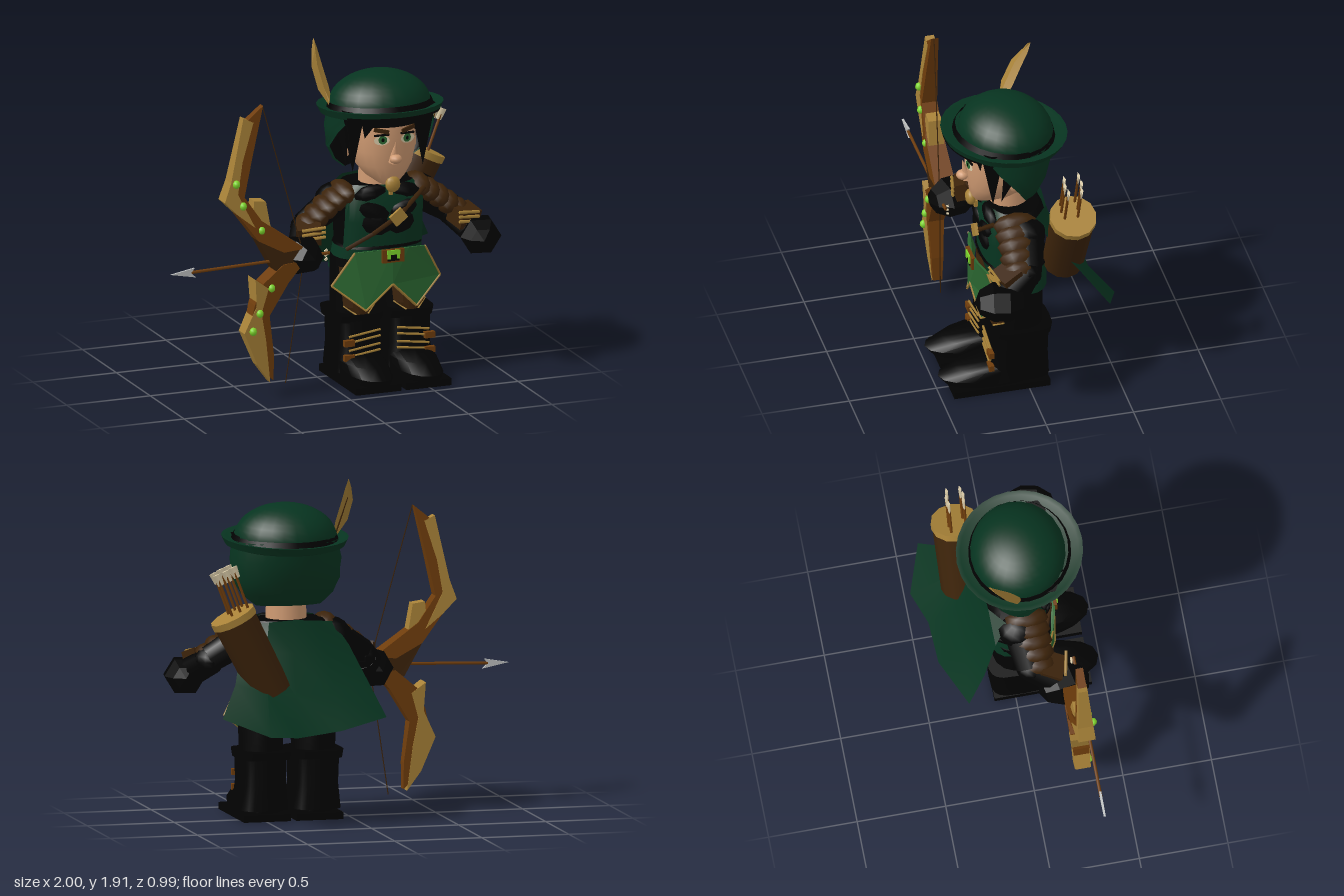
import * as THREE from 'three';
import { toCreasedNormals } from 'three/addons/utils/BufferGeometryUtils.js';

const mat = (name, color) => {
  const m = new THREE.MeshStandardMaterial({ color, side: THREE.DoubleSide });
  m.name = name;
  return m;
};
const V = (x, y, z) => new THREE.Vector3(x, y, z);

export function createModel() {
  const darkGreen = mat('darkGreen', 0x073420), green = mat('leafGreen', 0x2b6731);
  const black = mat('blackLeather', 0x020202), brown = mat('brownLeather', 0x3c230a);
  const gold = mat('gold', 0xa88238), wood = mat('wood', 0x6f3d0c), skin = mat('skin', 0xcf9a72);
  const cream = mat('cream', 0xdccdaa), lime = mat('limeGem', 0x7ed62c), steel = mat('steel', 0xbcbebe);

  const root = new THREE.Group();
  root.name = 'archer';
  const body = new THREE.Group();
  body.name = 'body';
  body.position.x = 0.345;
  root.add(body);

  const add = (parent, name, geo, m, pos = [0, 0, 0], rot = [0, 0, 0], scale = [1, 1, 1]) => {
    const mesh = new THREE.Mesh(geo, m);
    mesh.name = name;
    mesh.position.set(...pos);
    mesh.rotation.set(...rot);
    mesh.scale.set(...scale);
    parent.add(mesh);
    return mesh;
  };
  const box = (p, name, m, size, pos, rot) => add(p, name, new THREE.BoxGeometry(...size), m, pos, rot);
  const ball = (p, name, m, pos, scale, rot, w = 12, h = 8) =>
    add(p, name, new THREE.SphereGeometry(1, w, h), m, pos, rot, scale);
  // Tapered rod from a to b
  const rod = (p, name, m, a, b, ra, rb = ra, n = 8) => {
    const A = V(...a), B = V(...b), d = B.clone().sub(A);
    const mesh = add(p, name, new THREE.CylinderGeometry(rb, ra, d.length(), n), m);
    mesh.position.copy(A).add(B).multiplyScalar(0.5);
    mesh.quaternion.setFromUnitVectors(V(0, 1, 0), d.normalize());
    return mesh;
  };
  // Surface from a grid of points, rows running upward
  const grid = (rows, crease = 0.7) => {
    const w = rows[0].length, pos = rows.flat(2), idx = [];
    for (let j = 0; j < rows.length - 1; j++)
      for (let i = 0; i < w - 1; i++) {
        const a = j * w + i, b = a + 1, c = b + w, d = a + w;
        idx.push(a, b, c, a, c, d);
      }
    const g = new THREE.BufferGeometry();
    g.setAttribute('position', new THREE.Float32BufferAttribute(pos, 3));
    g.setIndex(idx);
    return toCreasedNormals(g, crease);
  };
  // Elliptical rows [y, zCentre, rx, rz, fromAngle, toAngle], angle 0 at the front
  const shell = (rows, n = 20, power = 2, crease = 0.7) => grid(rows.map(([y, cz, rx, rz, a0 = -Math.PI, a1 = Math.PI]) =>
    Array.from({ length: n + 1 }, (_, i) => {
      const a = a0 + (a1 - a0) * i / n, f = t => Math.sign(t) * Math.abs(t) ** (2 / power);
      return [rx * f(Math.sin(a)), y, cz + rz * f(Math.cos(a))];
    })), crease);
  const loft = (rows, n, power) => {
    const a = rows[0], b = rows[rows.length - 1];
    return shell([[a[0], a[1], 0, 0], ...rows, [b[0], b[1], 0, 0]], n, power);
  };
  const slab = (pts, depth) => new THREE.ExtrudeGeometry(
    new THREE.Shape(pts.map(p => new THREE.Vector2(...p))), { depth, bevelEnabled: false });
  const profile = pts => pts.map(p => new THREE.Vector2(...p));

  // Torso and tunic
  add(body, 'torso', loft([[0.74, 0.03, 0.24, 0.165], [0.9, 0.03, 0.245, 0.17], [1.06, 0.03, 0.26, 0.17],
    [1.12, 0.03, 0.2, 0.14]], 20, 2.6), black);
  add(body, 'tunicSkirt', loft([[0.62, 0.01, 0.27, 0.16], [0.77, 0.03, 0.245, 0.172]], 20, 2.6), darkGreen);
  add(body, 'tunicFront', shell([[0.76, 0.03, 0.25, 0.18, -1.2, 1.2], [0.92, 0.03, 0.255, 0.185, -1.1, 1.1],
    [1.06, 0.03, 0.265, 0.18, -1, 1], [1.125, 0.03, 0.2, 0.15, -1, 1]], 14, 2.6), darkGreen);
  for (const s of [-1, 1]) {
    ball(body, 'collarPad', black, [s * 0.1, 1.085, 0.18], [0.1, 0.045, 0.04], [0, 0, s * -0.15], 7, 5);
    ball(body, 'chestPad', black, [s * 0.08, 0.98, 0.2], [0.1, 0.05, 0.03], [0, 0, s * 0.35], 7, 5);
    ball(body, 'lowerChestPad', black, [s * 0.065, 0.905, 0.2], [0.095, 0.065, 0.03], [0, 0, s * 0.25], 7, 5);
  }
  const strap = [[-0.24, 0.77, 0.17], [-0.1, 0.86, 0.225], [0.06, 0.96, 0.235], [0.22, 1.09, 0.19]];
  for (let i = 0; i < 3; i++) rod(body, 'quiverStrap', brown, strap[i], strap[i + 1], 0.014, 0.014, 4);
  box(body, 'strapClasp', gold, [0.085, 0.07, 0.02], [0.04, 0.95, 0.25], [0, 0, 0.65]);
  ball(body, 'brooch', gold, [0, 1.148, 0.265], [0.045, 0.047, 0.03]);
  box(body, 'broochPin', gold, [0.02, 0.04, 0.02], [0, 1.1, 0.235]);

  // Belt and pointed skirt flaps with a gold trim
  add(body, 'belt', loft([[0.765, 0.03, 0.25, 0.19], [0.78, 0.03, 0.245, 0.185]], 20, 2.6), black);
  box(body, 'buckle', wood, [0.13, 0.075, 0.02], [0, 0.735, 0.265]);
  box(body, 'buckleCentre', black, [0.07, 0.04, 0.02], [0, 0.728, 0.27]);
  for (const [x, y, w, h] of [[0, 0.757, 0.075, 0.026], [-0.028, 0.735, 0.018, 0.03], [0.028, 0.735, 0.018, 0.03]])
    box(body, 'buckleGem', lime, [w, h, 0.02], [x, y, 0.273]);
  const bend = x => 0.255 - x * x;
  const flap = [[0, 0.77], [0.1, 0.77], [0.21, 0.76], [0.325, 0.565], [0.15, 0.425], [0, 0.57]];
  for (const s of [-1, 1]) {
    const g = slab(flap.map(([x, y]) => [x * s, y]), 0.012), p = g.attributes.position;
    for (let i = 0; i < p.count; i++) p.setZ(i, p.getZ(i) + bend(p.getX(i)));
    g.computeVertexNormals();
    add(body, 'skirtFlap', g, green);
    for (let i = 2; i < 5; i++) {
      const [a, b] = [flap[i], flap[i + 1]].map(([x, y]) => [s * x, y, bend(x) + 0.012]);
      rod(body, 'flapTrim', gold, a, b, 0.007, 0.007, 4);
    }
  }

  // Legs, boots and arms, mirrored
  for (const s of [-1, 1]) {
    const leg = new THREE.Group();
    leg.name = s > 0 ? 'leftLeg' : 'rightLeg';
    leg.position.x = s * 0.15;
    body.add(leg);
    add(leg, 'thigh', loft([[0.34, 0.03, 0.12, 0.135], [0.5, 0.03, 0.125, 0.14], [0.7, 0.03, 0.125, 0.14]], 14), black);
    add(leg, 'thighGuard', shell([[0.385, 0.03, 0.115, 0.158, -0.3, 0.3], [0.43, 0.03, 0.125, 0.163, -0.85, 0.85],
      [0.66, 0.03, 0.135, 0.16, -1, 1]], 8, 2, 0.2), brown);
    for (const t of [-1, 1])
      rod(leg, 'guardTrim', gold, [t * 0.035, 0.39, 0.183], [t * 0.095, 0.435, 0.137], 0.005);
    add(leg, 'bootShaft', loft([[0.06, 0.05, 0.14, 0.18], [0.2, 0.04, 0.125, 0.165], [0.37, 0.03, 0.13, 0.16]], 20, 4), black);
    add(leg, 'bootCuff', loft([[0.345, 0.025, 0.145, 0.165], [0.39, 0.025, 0.152, 0.172]], 20, 4), black);
    add(leg, 'foot', loft([[0.04, 0.18, 0.13, 0.28], [0.08, 0.19, 0.13, 0.3], [0.13, 0.15, 0.125, 0.24],
      [0.165, 0.06, 0.12, 0.16]], 16, 2.2), black);
    box(leg, 'sole', black, [0.27, 0.04, 0.55], [0, 0.02, 0.155]);
    for (const y of [0.17, 0.205, 0.25, 0.285])
      rod(leg, 'bootCord', gold, [-s * 0.1, y + 0.015, 0.206], [s * 0.09, y - 0.01, 0.212], 0.007, 0.007, 4);
    for (const y of [0.155, 0.24]) box(leg, 'bootClasp', wood, [0.06, 0.035, 0.03], [s * 0.09, y, 0.212]);

    const arm = new THREE.Group();
    arm.name = s > 0 ? 'leftArm' : 'rightArm';
    body.add(arm);
    ball(arm, 'shoulder', black, [s * 0.25, 1.02, 0.02], [0.11, 0.1, 0.12]);
    rod(arm, 'upperArm', black, [s * 0.23, 1.03, 0.02], [s * 0.44, 0.9, 0.05], 0.095, 0.08, 10);
    ball(arm, 'elbow', black, [s * 0.44, 0.89, 0.06], [0.085, 0.08, 0.09]);
    rod(arm, 'forearm', black, [s * 0.44, 0.89, 0.05], [s * 0.525, 0.8, 0.21], 0.08, 0.085, 10);
    // Mitten-like fist with a hexagonal outline
    add(arm, 'hand', toCreasedNormals(new THREE.SphereGeometry(1, 6, 5), 0.1), black, [s * 0.535, 0.79, 0.225],
      [Math.PI / 2, 0, s * 0.2], [0.122, 0.15, 0.115]);
    for (let i = 0; i < 5; i++)
      ball(arm, 'shoulderPlate', brown, [s * (0.225 + i * 0.055), 1.075 - i * 0.032 - i * i * 0.002, 0.065 + i * 0.008],
        [0.068, 0.068, 0.13 - i * 0.007], [0, 0, s * -0.55], 9, 6);
    box(arm, 'bracer', brown, [0.14, 0.1, 0.12], [s * 0.465, 0.895, 0.17], [0.35, s * 0.35, s * -0.15]);
    for (let i = 0; i < 3; i++)
      rod(arm, 'bracerCord', gold, [s * 0.4, 0.885 + i * 0.027, 0.262], [s * 0.53, 0.87 + i * 0.027, 0.235], 0.009, 0.009, 4);
  }
  // Pale finger wraps beside the bow grip
  for (let i = 0; i < 3; i++) box(body, 'fingerWrap', cream, [0.02, 0.012, 0.01], [-0.41, 0.765 + i * 0.025, 0.29], [0, 0, 0.6]);

  // Head and face
  rod(body, 'neck', skin, [0, 1.08, 0.05], [0, 1.26, 0.05], 0.115, 0.11, 14);
  add(body, 'face', loft([[1.14, 0.15, 0.05, 0.1], [1.18, 0.13, 0.105, 0.14], [1.25, 0.1, 0.16, 0.18],
    [1.33, 0.08, 0.183, 0.21], [1.42, 0.07, 0.19, 0.222], [1.5, 0.06, 0.19, 0.23], [1.58, 0.06, 0.18, 0.22]], 20, 2.3), skin);
  add(body, 'nose', new THREE.ConeGeometry(0.034, 0.13, 10), skin, [0, 1.345, 0.298], [0.25, 0, 0]);
  ball(body, 'noseTip', skin, [0, 1.305, 0.31], [0.036, 0.027, 0.037]);
  for (const s of [-1, 1]) {
    const face = (name, m, x, y, rx, ry, z) =>
      add(body, name, new THREE.CircleGeometry(1, 12), m, [s * x, y, z], [0, s * 0.2, 0], [rx, ry, 1]);
    face('eyeWhite', cream, 0.077, 1.415, 0.045, 0.028, 0.294);
    face('iris', green, 0.073, 1.418, 0.025, 0.025, 0.298);
    face('pupil', black, 0.073, 1.418, 0.009, 0.011, 0.301);
    box(body, 'upperLid', black, [0.085, 0.01, 0.01], [s * 0.077, 1.445, 0.293], [0, s * 0.2, s * -0.05]);
    box(body, 'eyebrow', brown, [0.085, 0.022, 0.012], [s * 0.08, 1.47, 0.296], [0, s * 0.25, s * 0.22]);
    ball(body, 'ear', skin, [s * 0.195, 1.33, 0.06], [0.025, 0.055, 0.035]);
    // Pointed side locks
    add(body, 'sideLock', new THREE.ConeGeometry(0.085, 0.36, 6), black, [s * 0.21, 1.4, 0.19], [Math.PI, 0, 0], [0.85, 1, 0.85]);
    add(body, 'backLock', new THREE.ConeGeometry(0.075, 0.32, 6), black, [s * 0.232, 1.4, 0.1], [Math.PI - 0.3, 0, 0], [0.75, 1, 1]);
    add(body, 'fringe', new THREE.ConeGeometry(0.08, 0.15, 5), black, [s * 0.14, 1.495, 0.25], [Math.PI, 0, s * -0.3], [1, 1, 0.6]);
  }
  add(body, 'fringeBand', shell([[1.487, 0.06, 0.205, 0.246, -1.6, 1.6], [1.57, 0.06, 0.24, 0.27, -1.6, 1.6]], 16, 2.3), black);

  // Hood and the hair lining inside it
  const back = (rows, k) => rows.map(([y, cz, rx, rz, a]) => [y, cz, rx * k, rz * k, Math.PI - a, Math.PI + a]);
  const hood = [[1.2, 0.03, 0.2, 0.1, 1.2], [1.26, 0.04, 0.265, 0.16, 1.45], [1.34, 0.05, 0.305, 0.21, 1.65],
    [1.45, 0.06, 0.315, 0.25, 2.0], [1.56, 0.07, 0.3, 0.27, 2.3]];
  add(body, 'hood', shell(back(hood, 1), 20), darkGreen);
  add(body, 'hair', shell(back(hood, 0.94), 20), black);

  // Tilted hat with an upturned brim, dark under its front
  const hat = new THREE.Group();
  hat.name = 'hat';
  hat.position.set(0, 1.555, 0.075);
  hat.rotation.x = -0.08;
  body.add(hat);
  const dome = new THREE.SphereGeometry(1, 24, 10, 0, Math.PI * 2, 0, Math.PI / 2);
  add(hat, 'hatDome', dome, darkGreen, [0, 0.01, -0.01], [0, 0, 0], [0.29, 0.195, 0.265]);
  add(hat, 'hatBand', new THREE.CylinderGeometry(0.288, 0.306, 0.045, 24, 1, true), black, [0, 0.015, 0], [0, 0, 0], [1, 1, 0.95]);
  const brim = [[0.2, 0], [0.3, -0.033], [0.335, -0.022], [0.355, 0.02], [0.33, 0.018], [0.285, 0.002], [0.2, 0.008]];
  add(hat, 'hatBrim', toCreasedNormals(new THREE.LatheGeometry(profile(brim), 28), 0.5), darkGreen);
  const lining = [[0.2, -0.006], [0.3, -0.039], [0.337, -0.026], [0.345, -0.01]];
  add(hat, 'brimLining', new THREE.LatheGeometry(profile(lining), 14, -0.95, 1.9), black);

  // Feather, a folded blade
  const feather = [[0.075, 1.56, 0.03, 0.01], [0.045, 1.66, -0.02, 0.04], [0.028, 1.78, -0.08, 0.038],
    [0.035, 1.86, -0.13, 0.02], [0.04, 1.91, -0.157, 0.002]];
  add(root, 'feather', grid(feather.map(([x, y, z, w]) => [[x - w, y, z + w * 0.5], [x, y, z + 0.012], [x + w, y, z - w * 0.5]]), 0.2), gold);
  rod(root, 'featherQuill', brown, [0.075, 1.56, 0.02], [0.03, 1.8, -0.1], 0.005, 0.003, 5);

  // Wind-blown cape
  add(root, 'cape', grid([
    [[-0.14, 0.59, -0.3], [0.15, 0.54, -0.42], [0.4, 0.51, -0.43], [0.58, 0.53, -0.5], [0.83, 0.63, -0.41]],
    [[-0.06, 0.78, -0.2], [0.15, 0.74, -0.28], [0.38, 0.73, -0.29], [0.55, 0.75, -0.33], [0.72, 0.8, -0.27]],
    [[0.03, 0.98, -0.12], [0.18, 0.96, -0.17], [0.36, 0.95, -0.18], [0.52, 0.96, -0.18], [0.65, 0.98, -0.12]],
    [[0.1, 1.1, -0.04], [0.2, 1.12, -0.13], [0.345, 1.13, -0.14], [0.49, 1.12, -0.13], [0.59, 1.1, -0.04]]], 0.5), darkGreen);

  // Quiver with arrows, fletchings are thin vanes
  rod(root, 'quiver', brown, [0.5, 0.74, -0.225], [0.72, 1.17, -0.225], 0.115, 0.125, 12);
  rod(root, 'quiverRim', gold, [0.71, 1.15, -0.225], [0.728, 1.186, -0.225], 0.132, 0.132, 12);
  for (const [dx, dz] of [[-0.06, -0.035], [-0.015, -0.04], [0.03, -0.03], [-0.05, 0.05], [-0.01, 0.055], [0.03, 0.045]]) {
    const a = [0.69 + dx, 1.16 - dx * 0.45, -0.22 + dz], b = [a[0] + 0.09, a[1] + 0.24, a[2]];
    rod(root, 'quiverArrow', wood, a, b, 0.008, 0.008, 6);
    rod(root, 'arrowFletching', cream, [b[0] - 0.014, b[1] - 0.03, b[2]], [b[0] + 0.012, b[1] + 0.03, b[2]], 0.018, 0.026, 4).scale.z = 0.35;
  }

  // Bow limbs with leaf-like gold edges, thinning toward the tips
  const bow = new THREE.Group();
  bow.name = 'bow';
  root.add(bow);
  const limb = (name, m, pts, half) => {
    const g = slab(pts, 2), p = g.attributes.position;
    for (let i = 0; i < p.count; i++)
      p.setZ(i, 0.265 + (p.getZ(i) - 1) * half * (1 - 0.65 * Math.abs(p.getY(i) - 0.83) / 0.86));
    g.computeVertexNormals();
    add(bow, name, g, m);
  };
  limb('grip', brown, [[-0.48, 0.92], [-0.38, 0.74], [-0.33, 0.72], [-0.2, 0.78], [-0.2, 0.85], [-0.46, 1.03]], 0.055);
  limb('upperLimb', wood, [[-0.44, 1.69], [-0.55, 1.6], [-0.62, 1.28], [-0.66, 1.16], [-0.48, 0.92], [-0.33, 0.84],
    [-0.2, 0.85], [-0.46, 1.035], [-0.56, 1.18], [-0.51, 1.4]], 0.06);
  limb('lowerLimb', wood, [[-0.2, 0.78], [-0.33, 0.77], [-0.45, 0.67], [-0.5, 0.55], [-0.54, 0.37], [-0.45, 0.17],
    [-0.38, 0.1], [-0.38, 0.25], [-0.41, 0.48], [-0.3, 0.66]], 0.06);
  limb('upperLeafEdge', gold, [[-0.56, 1.63], [-0.64, 1.27], [-0.68, 1.16], [-0.6, 1.08], [-0.5, 1], [-0.6, 1.2],
    [-0.57, 1.38], [-0.5, 1.6]], 0.065);
  limb('leafSpike', gold, [[-0.51, 1.05], [-0.5, 1.15], [-0.43, 1.14], [-0.4, 0.97], [-0.46, 0.98]], 0.05);
  limb('lowerLeafEdge', gold, [[-0.5, 0.7], [-0.49, 0.54], [-0.56, 0.39], [-0.48, 0.2], [-0.4, 0.09], [-0.43, 0.34],
    [-0.46, 0.5], [-0.42, 0.64]], 0.065);
  for (const [x, y] of [[-0.61, 1.26], [-0.57, 1.13], [-0.46, 0.98], [-0.4, 0.64], [-0.47, 0.5], [-0.51, 0.4]])
    ball(bow, 'limeBead', lime, [x, y, 0.312], [0.022, 0.024, 0.022], [0, 0, 0], 8, 6);
  for (const [x, y] of [[-0.44, 1.69], [-0.3, 0.07]])
    rod(bow, 'bowstring', brown, [x, y, 0.27], [-0.2, 0.8, 0.3], 0.003, 0.003, 4);

  // Nocked arrow
  rod(root, 'arrowShaft', wood, [-0.05, 0.805, 0.305], [-0.88, 0.78, 0.305], 0.009, 0.009, 6);
  add(root, 'arrowHead', slab([[-1, 0.78], [-0.85, 0.75], [-0.88, 0.777], [-0.86, 0.805]], 0.012), steel, [0, 0, 0.299]);
  return root;
}
